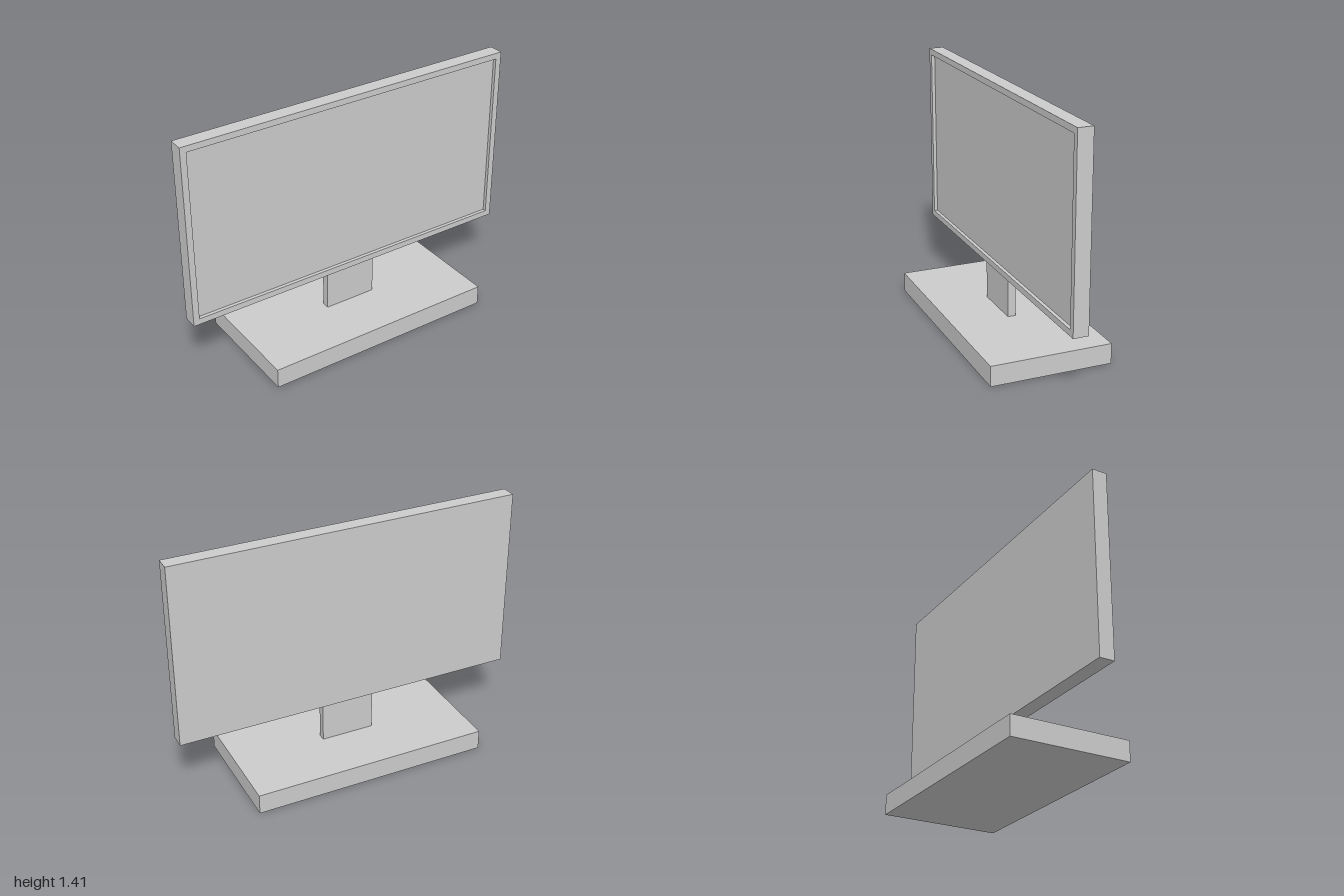
import * as THREE from 'three';

const material = new THREE.MeshStandardMaterial({ color: 0xcccccc });

function addMesh(group, name, geometry, x, y, z) {
  const mesh = new THREE.Mesh(geometry, material);
  mesh.name = name;
  mesh.position.set(x, y, z);
  group.add(mesh);
  return mesh;
}

// Rectangle outline centred on the origin
function rectangle(PathClass, width, height) {
  const w = width / 2, h = height / 2;
  return new PathClass([
    new THREE.Vector2(-w, -h),
    new THREE.Vector2(w, -h),
    new THREE.Vector2(w, h),
    new THREE.Vector2(-w, h),
  ]);
}

export function createModel() {
  const model = new THREE.Group();
  model.name = 'monitor';

  const width = 2, bottom = 0.349, top = 1.407, depth = 0.086;
  const border = 0.035, recess = 0.02;
  const height = top - bottom, middle = (top + bottom) / 2;
  const innerWidth = width - 2 * border, innerHeight = height - 2 * border;

  // Base and neck
  const baseHeight = 0.115;
  addMesh(model, 'base', new THREE.BoxGeometry(1.364, baseHeight, 0.69), 0, baseHeight / 2, 0);
  const neckHeight = bottom - baseHeight;
  addMesh(model, 'neck', new THREE.BoxGeometry(0.308, neckHeight, 0.044), 0, baseHeight + neckHeight / 2, 0);

  // Casing: a hollow frame closed by a back panel
  const display = new THREE.Group();
  display.name = 'display';
  display.position.y = middle;
  model.add(display);

  const outline = rectangle(THREE.Shape, width, height);
  outline.holes.push(rectangle(THREE.Path, innerWidth, innerHeight));
  const frame = new THREE.ExtrudeGeometry(outline, { depth, bevelEnabled: false });
  addMesh(display, 'frame', frame, 0, 0, -depth / 2);

  // Screen block fills the frame, set back from its front edge
  const screen = new THREE.BoxGeometry(innerWidth, innerHeight, depth - recess);
  addMesh(display, 'screen', screen, 0, 0, -recess / 2);

  return model;
}
